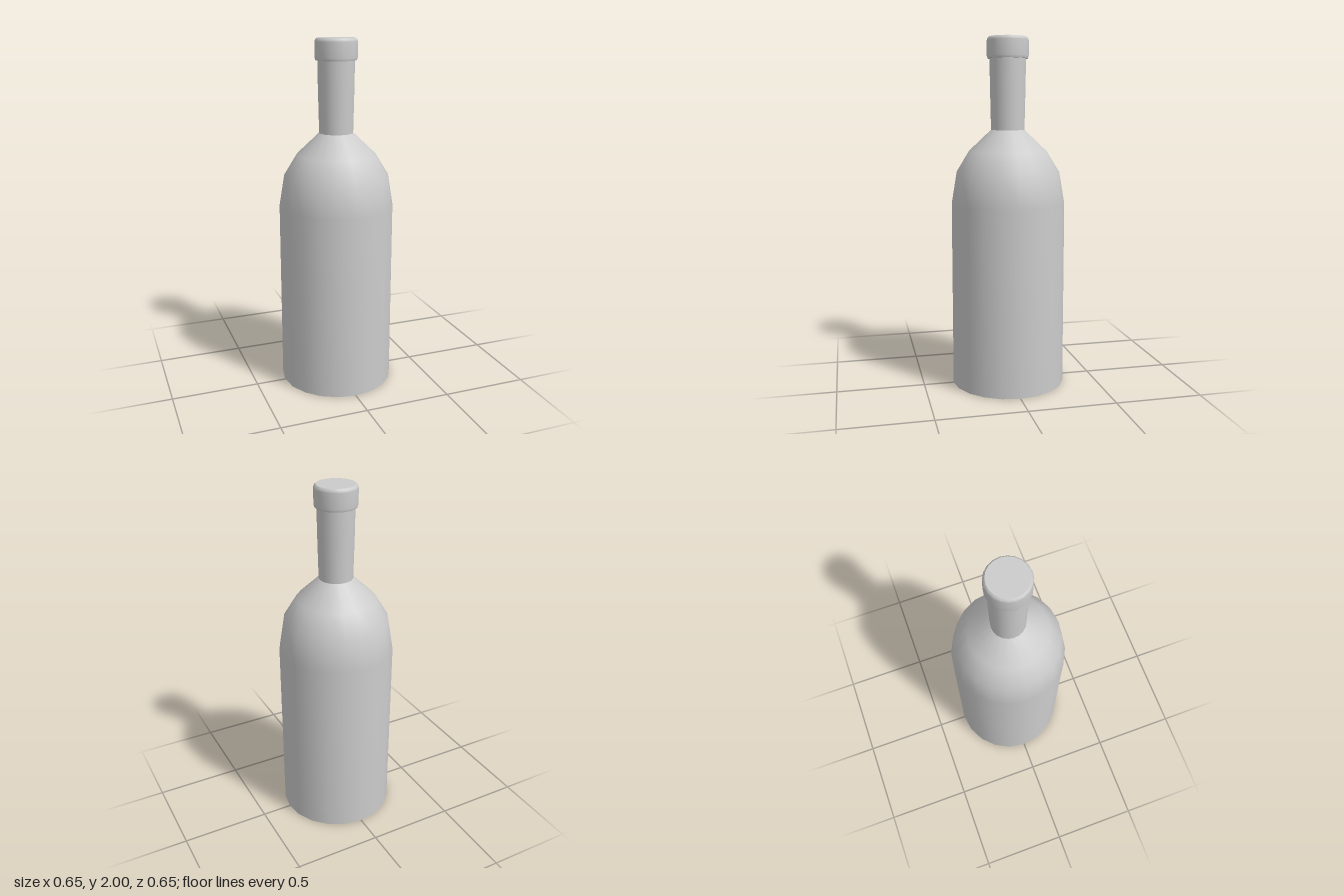
import * as THREE from 'three';

const SIDES = 20;

export function createModel() {
  const bottle = new THREE.Group();
  bottle.name = 'bottle';
  const material = new THREE.MeshStandardMaterial({ color: 0xcccccc });

  // Each profile runs from bottom to top as [radius, height]; separate parts keep creases sharp.
  const turn = (name, profile) => {
    const points = profile.map(([r, y]) => new THREE.Vector2(r, y));
    const mesh = new THREE.Mesh(new THREE.LatheGeometry(points, SIDES), material);
    mesh.name = name;
    bottle.add(mesh);
  };

  // Hollowed underside
  turn('base', [[0, 0.08], [0.12, 0.07], [0.23, 0.04], [0.327, 0]]);

  // Straight wall and rounded shoulder
  turn('body', [[0.327, 0], [0.327, 1.06], [0.297, 1.24], [0.224, 1.36], [0.097, 1.48]]);

  // Slightly flared neck
  turn('neck', [[0.096, 1.48], [0.102, 1.76], [0.103, 1.88]]);

  // Lip ring with softened edges and a closed top
  turn('lipUnderside', [[0.1, 1.88], [0.114, 1.88]]);
  turn('lip', [[0.114, 1.88], [0.119, 1.895], [0.119, 1.98], [0.115, 1.992], [0.107, 2]]);
  turn('lipTop', [[0.107, 2], [0, 2]]);

  return bottle;
}
